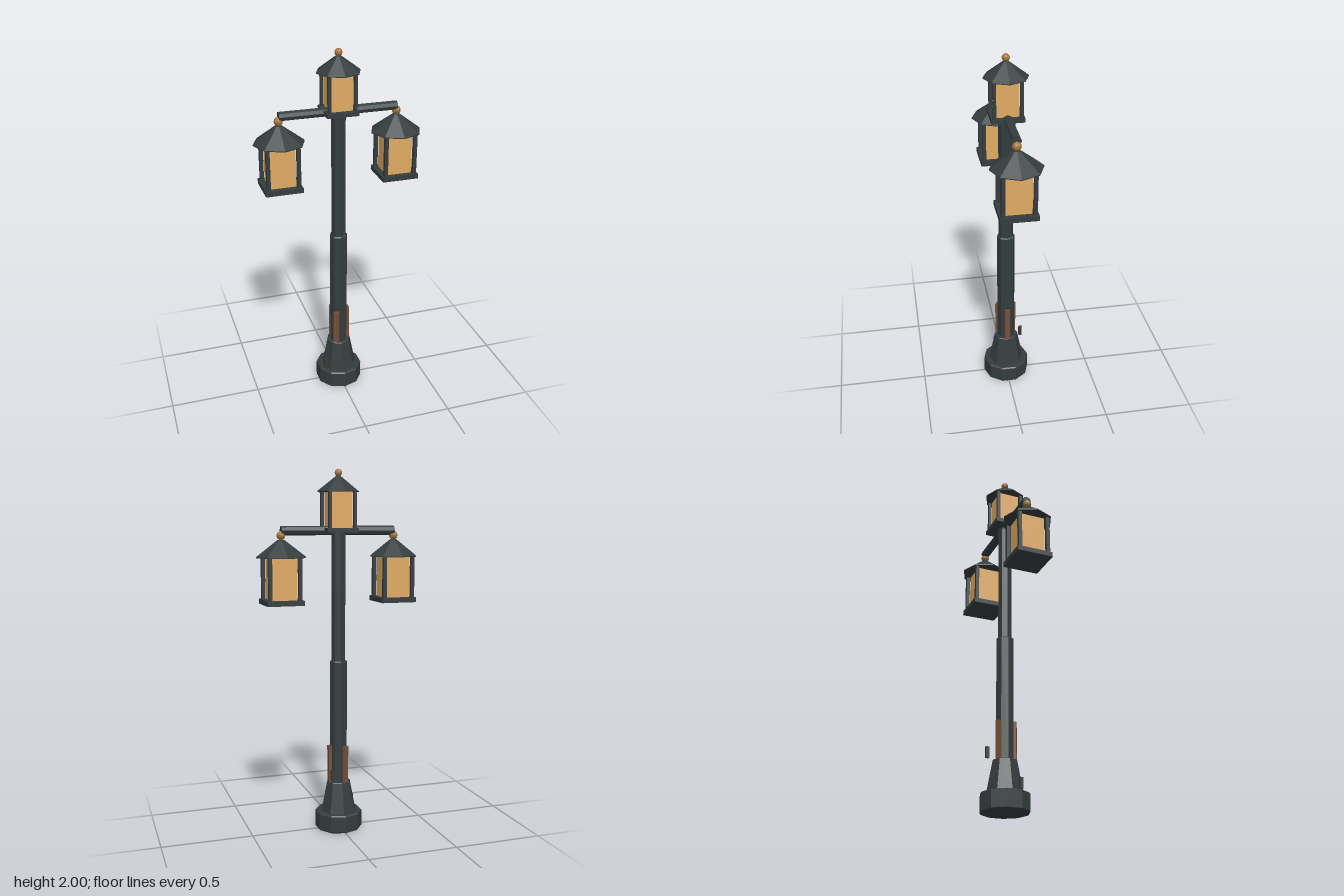
import * as THREE from 'three';

const material = (color) => new THREE.MeshStandardMaterial({ color, flatShading: true });

export function createModel() {
  const iron = material(0x353d3f);
  const glass = material(0xe0aa62);
  const brass = material(0xa3753a);
  const copper = material(0x765038);
  const darkBrown = material(0x3f3934);

  const model = new THREE.Group();
  model.name = 'streetLamp';

  const add = (parent, name, geometry, mat, x = 0, y = 0, z = 0) => {
    const mesh = new THREE.Mesh(geometry, mat);
    mesh.name = name;
    mesh.position.set(x, y, z);
    parent.add(mesh);
    return mesh;
  };

  // Faceted turned part with a small chamfer at both ends
  const turned = (r0, r1, y0, y1, sides, c = 0.006) => new THREE.LatheGeometry([
    [0, y0], [r0 - c, y0], [r0, y0 + c], [r1, y1 - c], [r1 - c, y1], [0, y1],
  ].map(([x, y]) => new THREE.Vector2(x, y)), sides);

  // Column
  add(model, 'base', turned(0.132, 0.132, 0, 0.1, 10), iron);
  add(model, 'pedestal', turned(0.102, 0.068, 0.09, 0.272, 8, 0.004), iron);
  add(model, 'lowerShaft', turned(0.05, 0.05, 0.26, 0.96, 8), iron);
  add(model, 'upperShaft', turned(0.04, 0.04, 0.94, 1.67, 8), iron);

  // Three copper strips around the lower shaft
  for (let i = 0; i < 3; i++) {
    const a = (i * Math.PI * 2) / 3;
    const strip = add(model, 'copperStrip', new THREE.BoxGeometry(0.018, 0.215, 0.03), copper,
      0.052 * Math.cos(a), 0.37, -0.052 * Math.sin(a));
    strip.rotation.y = a;
  }

  // Small loose tabs beside the column
  add(model, 'upperTab', new THREE.BoxGeometry(0.016, 0.06, 0.018), darkBrown, 0.06, 0.325, -0.075);
  add(model, 'lowerTab', new THREE.BoxGeometry(0.018, 0.06, 0.016), darkBrown, -0.095, 0.137, 0.05);

  // Cross arm
  const arm = add(model, 'crossArm', new THREE.CylinderGeometry(0.025, 0.025, 0.64, 8), iron, 0, 1.672, 0);
  arm.rotation.z = Math.PI / 2;

  // Lantern standing on its own origin
  const lantern = (name, x, y, scale) => {
    const g = new THREE.Group();
    g.name = name;
    g.position.set(x, y, 0);
    g.scale.setScalar(scale);
    model.add(g);
    add(g, 'floor', new THREE.BoxGeometry(0.2, 0.027, 0.2), iron, 0, 0.0135, 0);
    add(g, 'glass', new THREE.BoxGeometry(0.138, 0.225, 0.138), glass, 0, 0.139, 0);
    for (const sx of [-1, 1]) for (const sz of [-1, 1]) {
      add(g, 'cornerPost', new THREE.BoxGeometry(0.02, 0.235, 0.02), iron, sx * 0.081, 0.137, sz * 0.081);
    }
    add(g, 'roof', new THREE.LatheGeometry([
      [0, 0.249], [0.137, 0.249], [0.137, 0.254], [0.018, 0.344], [0, 0.344],
    ].map(([r, h]) => new THREE.Vector2(r, h)), 8), iron);
    add(g, 'finial', new THREE.SphereGeometry(0.024, 10, 8), brass, 0, 0.366, 0);
  };
  lantern('topLantern', 0, 1.662, 0.86);
  for (const side of [-1, 1]) lantern(side > 0 ? 'leftLantern' : 'rightLantern', side * 0.32, 1.28, 1);

  return model;
}
